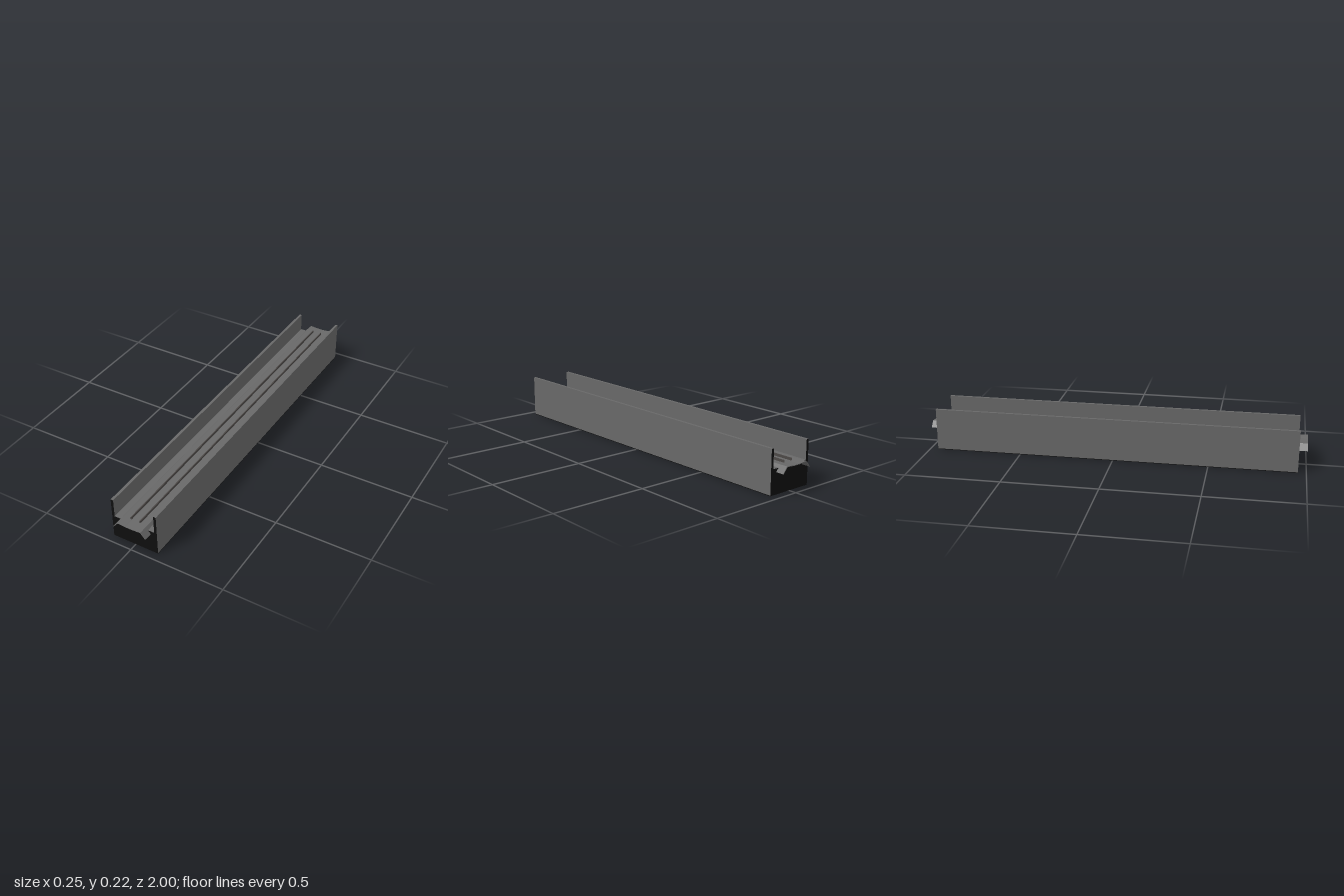
import * as THREE from 'three';

const material = (name, color, side = THREE.FrontSide) => {
  const m = new THREE.MeshStandardMaterial({ color, side });
  m.name = name;
  return m;
};

// Extrude an x-y outline along z, centred on z = 0
function extrudeAlong(points, length, materials, name) {
  const shape = new THREE.Shape(points.map(([x, y]) => new THREE.Vector2(x, y)));
  const geometry = new THREE.ExtrudeGeometry(shape, { depth: length, bevelEnabled: false });
  geometry.translate(0, 0, -length / 2);
  const mesh = new THREE.Mesh(geometry, materials);
  mesh.name = name;
  return mesh;
}

// Open sheet following an x-y path, running along z
function sheetAlong(path, length, mat, name) {
  const positions = [];
  const h = length / 2;
  for (let i = 0; i < path.length - 1; i++) {
    const [ax, ay] = path[i], [bx, by] = path[i + 1];
    positions.push(ax, ay, -h, ax, ay, h, bx, by, h, ax, ay, -h, bx, by, h, bx, by, -h);
  }
  const geometry = new THREE.BufferGeometry();
  geometry.setAttribute('position', new THREE.Float32BufferAttribute(positions, 3));
  geometry.computeVertexNormals();
  const mesh = new THREE.Mesh(geometry, mat);
  mesh.name = name;
  return mesh;
}

export function createModel() {
  const grey = material('concrete grey', 0x686868);
  const black = material('black', 0x0e0e0e);
  const railGrey = material('rail dark grey', 0x4c4846, THREE.DoubleSide);
  const group = new THREE.Group();
  group.name = 'channel';

  // U-shaped channel with black end faces
  const length = 1.915, w = 0.125, inner = 0.111, top = 0.225, floor = 0.126;
  group.add(extrudeAlong([
    [-w, 0.003], [w, 0.003], [w, top], [inner, top],
    [inner, floor], [-inner, floor], [-inner, top], [-w, top],
  ], length, [black, grey], 'channelBody'));

  // Black underside
  const base = new THREE.Mesh(new THREE.BoxGeometry(2 * w, 0.003, length), black);
  base.position.y = 0.0015;
  base.name = 'underside';
  group.add(base);

  // Folded track plate that projects at both ends
  const upper = [[0.091, 0.108], [0.065, 0.14], [0.026, 0.137], [0.02, 0.136]];
  const lower = [[0.02, 0.133], [0.026, 0.134], [0.063, 0.136], [0.087, 0.108]];
  const mirror = (pts) => pts.map(([x, y]) => [-x, y]).reverse();
  group.add(extrudeAlong(
    [...upper, ...mirror(upper), ...mirror(lower), ...lower],
    2, grey, 'trackPlate'));

  // Two hollow rails
  for (const side of [-1, 1]) {
    const c = side * 0.0255, r = 0.0025;
    group.add(sheetAlong(
      [[c - r, 0.135], [c - r, 0.149], [c + r, 0.149], [c + r, 0.135]],
      1.89, railGrey, side > 0 ? 'leftRail' : 'rightRail'));
  }
  return group;
}
